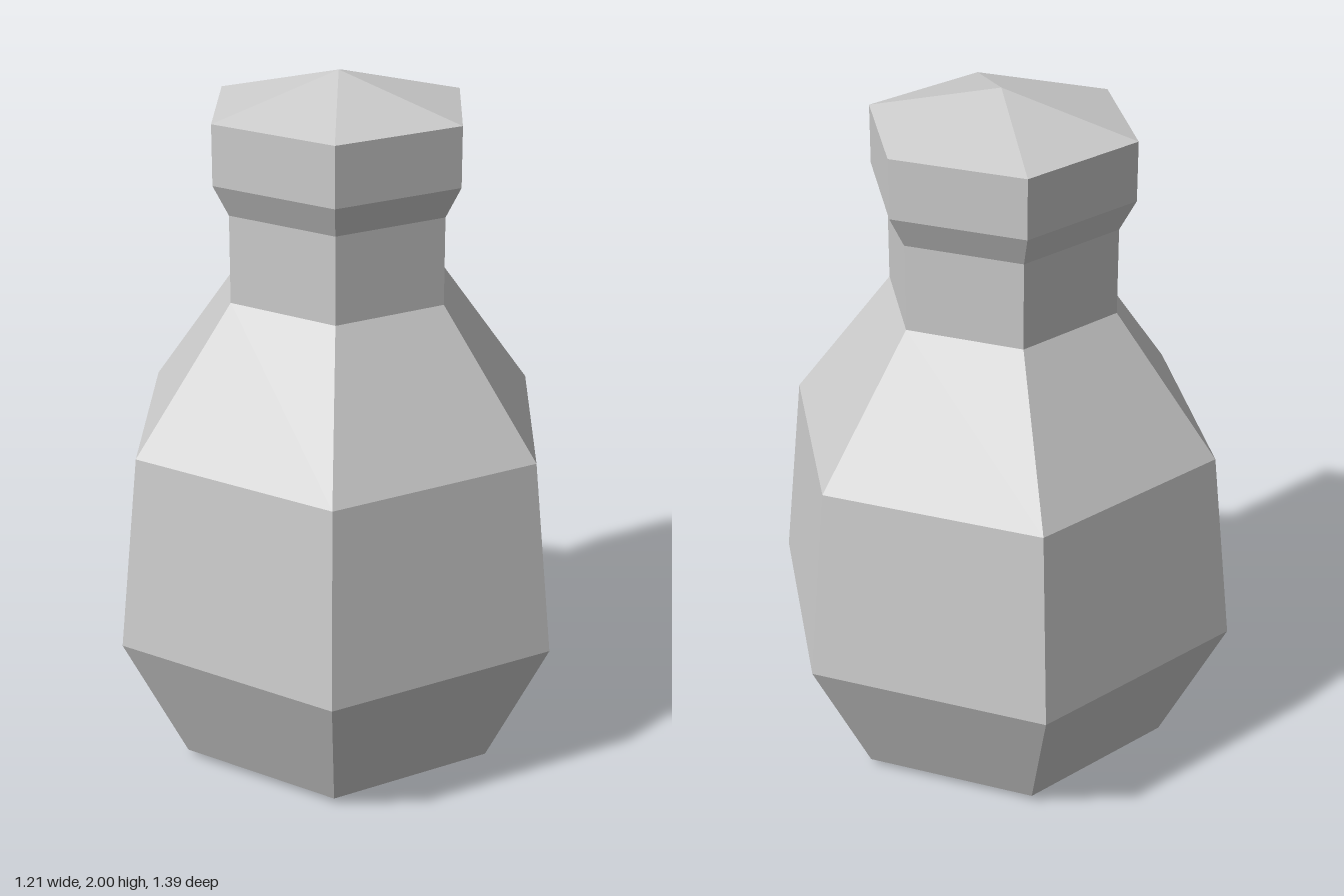
import * as THREE from 'three';

const SIDES = 6;

// Hexagonal shell turned from a bottom-to-top profile of [radius, y] pairs, one corner facing +z
function hexLathe(name, profile, material) {
  const points = profile.map(([r, y]) => new THREE.Vector2(r, y));
  const mesh = new THREE.Mesh(new THREE.LatheGeometry(points, SIDES), material);
  mesh.name = name;
  return mesh;
}

export function createModel() {
  const group = new THREE.Group();
  group.name = 'bottle';
  const material = new THREE.MeshStandardMaterial({ color: 0xcccccc, flatShading: true });

  // Rings shared by neighbouring parts
  const shoulder = [0.336, 1.39];
  const neckTop = [0.336, 1.64];
  const rim = [0.383, 1.9];

  group.add(
    // Shallow pointed base, flared belly and sloping shoulder
    hexLathe('body', [[0, 0], [0.502, 0.022], [0.696, 0.42], [0.634, 0.985], shoulder], material),
    hexLathe('neck', [shoulder, neckTop], material),
    // Collar widening above the neck
    hexLathe('collar', [neckTop, [0.383, 1.73], rim], material),
    // Low pyramid closing the top
    hexLathe('cap', [rim, [0, 2]], material),
  );
  return group;
}
